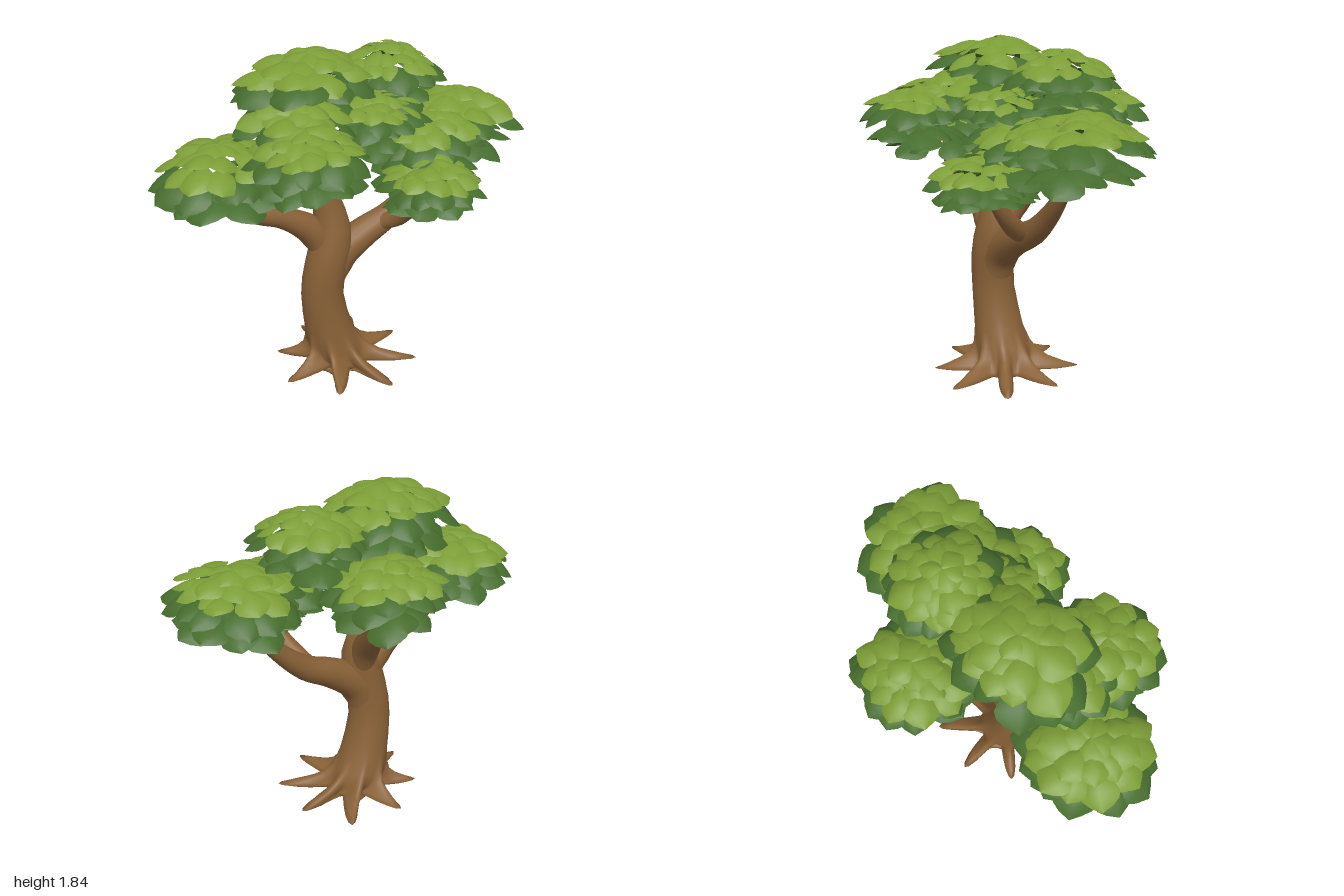
import * as THREE from 'three';
import { mergeGeometries } from 'three/addons/utils/BufferGeometryUtils.js';

const bark = new THREE.MeshStandardMaterial({ color: 0x8a6238 });
bark.name = 'bark brown';
const lightLeaf = new THREE.MeshStandardMaterial({ color: 0x7c9d37, side: THREE.DoubleSide });
lightLeaf.name = 'light leaf green';
const darkLeaf = new THREE.MeshStandardMaterial({ color: 0x476d2e, side: THREE.DoubleSide });
darkLeaf.name = 'dark leaf green';

let seed = 7;
const rand = () => (seed = (seed * 16807) % 2147483647) / 2147483647;
const jitter = (amount) => (rand() - 0.5) * 2 * amount;

function addMesh(parent, name, geometry, material) {
  const mesh = new THREE.Mesh(geometry, material);
  mesh.name = name;
  parent.add(mesh);
}

// Trunk lofted from rings [y, centre x, centre z, radius, root reach]
const RINGS = [
  [0.008, -0.09, 0, 0.004, 0], [0.016, -0.08, 0, 0.06, 0],
  [0.035, -0.05, 0.01, 0.115, 0], [0.054, -0.01, 0.03, 0.135, 0.06],
  [0.06, 0.015, 0.045, 0.135, 0.21], [0.071, 0.02, 0.05, 0.14, 0.255],
  [0.088, 0.01, 0.045, 0.142, 0.19], [0.115, -0.01, 0.03, 0.145, 0.1],
  [0.15, -0.02, 0.02, 0.148, 0.04], [0.2, -0.04, 0.015, 0.145, 0.01],
  [0.28, -0.065, 0.015, 0.133, 0],
  [0.38, -0.088, 0.015, 0.124, 0], [0.5, -0.108, 0.018, 0.115, 0],
  [0.6, -0.105, 0.025, 0.115, 0], [0.7, -0.09, 0.035, 0.115, 0],
  [0.8, -0.07, 0.04, 0.112, 0], [0.9, -0.055, 0.035, 0.1, 0],
  [1.0, -0.065, 0.025, 0.085, 0], [1.1, -0.09, 0.02, 0.07, 0],
  [1.2, -0.115, 0.02, 0.056, 0], [1.35, -0.13, 0.02, 0.038, 0],
  [1.5, -0.135, 0.02, 0.015, 0], [1.6, -0.135, 0.02, 0.002, 0],
];

function trunkGeometry() {
  const n = 128, roots = 8, points = [], index = [];
  RINGS.forEach(([y, cx, cz, r, reach], j) => {
    for (let i = 0; i < n; i++) {
      const a = (i / n) * Math.PI * 2;
      const lobe = Math.pow((1 + Math.cos(roots * a)) / 2, 2.2);
      const root = Math.floor((i + 8) / 16) % roots;
      const radius = r + reach * lobe * (1 + 0.06 * Math.sin(root * 2.4));
      const angle = a + 0.12;
      points.push(cx + radius * Math.sin(angle), y, cz + radius * Math.cos(angle));
      if (j < RINGS.length - 1) {
        const p = j * n + i, q = j * n + ((i + 1) % n);
        index.push(p, q, q + n, p, q + n, p + n);
      }
    }
  });
  const g = new THREE.BufferGeometry();
  g.setAttribute('position', new THREE.Float32BufferAttribute(points, 3));
  g.setIndex(index);
  g.computeVertexNormals();
  return g;
}

// Tapered limb: a tube whose rings follow a list of radii
function limbGeometry(path, radii) {
  const curve = new THREE.CatmullRomCurve3(path.map((p) => new THREE.Vector3(...p)));
  const steps = 28, sides = 16;
  const g = new THREE.TubeGeometry(curve, steps, 1, sides);
  const pos = g.attributes.position, normal = g.attributes.normal;
  for (let i = 0; i < pos.count; i++) {
    const t = Math.floor(i / (sides + 1)) / steps;
    const f = t * (radii.length - 1), k = Math.min(Math.floor(f), radii.length - 2);
    const r = THREE.MathUtils.lerp(radii[k], radii[k + 1], f - k);
    const v = new THREE.Vector3().fromBufferAttribute(normal, i);
    v.multiplyScalar(r).add(curve.getPointAt(t));
    pos.setXYZ(i, v.x, v.y, v.z);
  }
  return g;
}

const LIMBS = {
  leftwardBranch: [
    [[-0.07, 0.72, 0.03], [-0.16, 0.89, 0.01], [-0.32, 1.0, -0.02], [-0.48, 1.06, -0.03], [-0.57, 1.16, -0.04], [-0.63, 1.3, -0.05]],
    [0.06, 0.085, 0.062, 0.05, 0.035, 0.006]],
  mainBranch: [
    [[-0.1, 0.5, 0.025], [-0.03, 0.71, 0.035], [0.12, 0.82, 0.06], [0.28, 0.9, 0.08], [0.42, 1.02, 0.1], [0.52, 1.14, 0.12], [0.63, 1.36, 0.13]],
    [0.07, 0.105, 0.085, 0.068, 0.05, 0.035, 0.006]],
  frontBranch: [
    [[0.19, 0.85, 0.06], [0.26, 0.93, 0.18], [0.29, 1.03, 0.29], [0.3, 1.2, 0.42]],
    [0.035, 0.052, 0.036, 0.006]],
  backBranch: [
    [[-0.05, 0.8, 0.02], [-0.02, 0.96, -0.05], [0.04, 1.12, -0.18], [0.08, 1.25, -0.27], [0.13, 1.46, -0.38]],
    [0.06, 0.075, 0.055, 0.04, 0.006]],
};

// Broad pointed leaf, one unit long, growing along +z and arching downwards
function leafGeometry() {
  const g = new THREE.PlaneGeometry(1, 1, 4, 6).rotateX(-Math.PI / 2);
  const pos = g.attributes.position;
  for (let i = 0; i < pos.count; i++) {
    const u = pos.getX(i) * 2, t = pos.getZ(i) + 0.5;
    const w = 0.46 * Math.pow(Math.sin(Math.PI * Math.pow(t, 1.1)), 0.9) + 0.03 * (1 - t);
    pos.setXYZ(i, u * w, 0.24 * t - 0.44 * t * t - 0.38 * u * u * w, t);
  }
  g.computeVertexNormals();
  return g;
}

// Leaf rings: [height, start radius, leaf length, count, tilt, is light]; radii scale with the clump
const LEAF_RINGS = [
  [-0.015, 0.0, 0.44, 6, 0.0, true],
  [-0.035, 0.2, 0.48, 9, 0.08, true],
  [-0.065, 0.42, 0.5, 12, 0.15, true],
  [-0.1, 0.52, 0.56, 12, 0.3, false],
  [-0.13, 0.2, 0.55, 8, 0.12, false],
];
const LOWER_RINGS = [
  [0.03, 0.0, 0.5, 6, 0.05, false],
  [0.0, 0.32, 0.6, 10, 0.2, false],
];

// Clumps: [x, top y, z, radius x, radius z, drop to the lower tier]
const CLUMPS = {
  crownClump: [-0.15, 1.85, -0.04, 0.4, 0.32, 0.2],
  upperSideClump: [0.34, 1.82, -0.04, 0.28, 0.31, 0.2],
  backClump: [0.17, 1.63, -0.41, 0.32, 0.29, 0.19],
  outerLeftwardClump: [-0.64, 1.47, -0.05, 0.35, 0.34, 0.2],
  innerLeftwardClump: [-0.38, 1.61, 0.32, 0.31, 0.3, 0.2],
  middleLeftwardClump: [-0.3, 1.68, 0.1, 0.32, 0.26, 0.19],
  middleFrontClump: [0.14, 1.64, 0.14, 0.28, 0.24, 0.2],
  innerBranchClump: [0.42, 1.52, 0.2, 0.33, 0.3, 0.2],
  mainBranchClump: [0.67, 1.56, 0.12, 0.33, 0.36, 0.21],
  frontClump: [0.29, 1.35, 0.42, 0.28, 0.28, 0.16],
};

function leafClump(name, [x, y, z, rx, rz, drop]) {
  const group = new THREE.Group();
  group.name = name;
  group.position.set(x, y, z);
  const leaf = leafGeometry(), lights = [], darks = [];
  const rings = LEAF_RINGS.concat(LOWER_RINGS.map((r) => [r[0] - drop - 0.02, ...r.slice(1)]));
  for (const [height, start, length, count, tilt, isLight] of rings) {
    const phase = rand() * 6.28;
    for (let i = 0; i < count; i++) {
      const a = phase + ((i + jitter(0.3)) / count) * Math.PI * 2;
      const r = Math.hypot(rx * Math.sin(a), rz * Math.cos(a));
      const size = r * length * (1 + jitter(0.14));
      const g = leaf.clone();
      g.scale(size * 1.05, size, size);
      g.rotateZ(jitter(0.25));
      g.rotateX(tilt + jitter(0.16));
      g.translate(0, height + jitter(0.015), r * start);
      g.rotateY(a);
      (isLight ? lights : darks).push(g);
    }
  }
  addMesh(group, 'lightLeaves', mergeGeometries(lights), lightLeaf);
  addMesh(group, 'darkLeaves', mergeGeometries(darks), darkLeaf);
  return group;
}

export function createModel() {
  seed = 7;
  const tree = new THREE.Group();
  tree.name = 'tree';

  // Trunk with flared roots, and its branches
  addMesh(tree, 'trunkAndRoots', trunkGeometry(), bark);
  for (const [name, [path, radii]] of Object.entries(LIMBS)) {
    addMesh(tree, name, limbGeometry(path, radii), bark);
  }

  // Canopy
  const canopy = new THREE.Group();
  canopy.name = 'canopy';
  for (const [name, spec] of Object.entries(CLUMPS)) canopy.add(leafClump(name, spec));
  tree.add(canopy);
  return tree;
}
